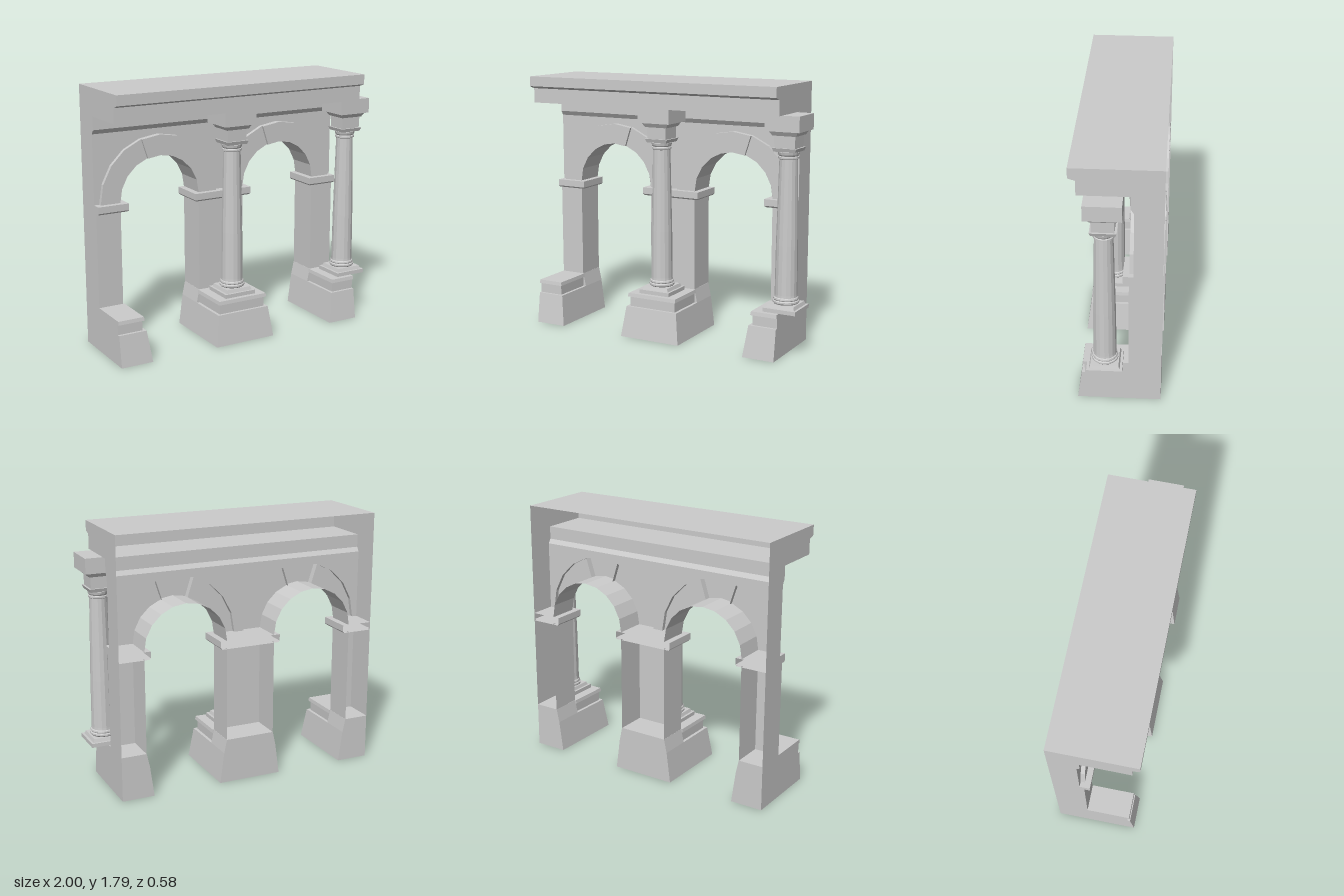
import * as THREE from 'three';

const mat = new THREE.MeshStandardMaterial({ color: 0xcccccc, flatShading: true, side: THREE.DoubleSide });
const X0 = -1, X1 = 0.876, BACK = -0.29, PIER = -0.075, WALL = -0.105;
const PIERS = [X0, -0.062, X1], ARCHES = [-0.531, 0.407];
const SPRING = 1.013, R_IN = 0.294, R_OUT = 0.434, TOP = 1.79;

function add(parent, name, geo, x = 0, y = 0, z = 0) {
  const m = new THREE.Mesh(geo, mat);
  m.name = name;
  m.position.set(x, y, z);
  parent.add(m);
  return m;
}

// Open ribbon: a polyline of [x, y, z] points pushed along an offset
function ribbon(points, offset) {
  const pos = [], idx = [];
  points.forEach((p, i) => {
    pos.push(...p, p[0] + offset[0], p[1] + offset[1], p[2] + offset[2]);
    if (i) idx.push(2 * i - 2, 2 * i, 2 * i - 1, 2 * i - 1, 2 * i, 2 * i + 1);
  });
  const g = new THREE.BufferGeometry();
  g.setAttribute('position', new THREE.Float32BufferAttribute(pos, 3));
  g.setIndex(idx);
  const flat = g.toNonIndexed();
  flat.computeVertexNormals();
  return flat;
}

// Block whose bottom and top rectangles [x0, x1, z0, z1] may differ
function block(y0, y1, bottom, top = bottom, openBack = false) {
  const g = new THREE.BoxGeometry(1, 1, 1), p = g.attributes.position;
  for (let i = 0; i < p.count; i++) {
    const up = p.getY(i) > 0, r = up ? top : bottom;
    p.setXYZ(i, p.getX(i) > 0 ? r[1] : r[0], up ? y1 : y0, p.getZ(i) > 0 ? r[3] : r[2]);
  }
  if (openBack) g.setIndex(Array.from(g.index.array).slice(0, 30));
  g.computeVertexNormals();
  return g;
}

const shapeOf = (pts) => new THREE.Shape(pts.map((p) => new THREE.Vector2(p[0], p[1])));

// Points on an arc of 18 degree steps, from step a to step b
function arc(cx, r, a, b) {
  const out = [], dir = Math.sign(b - a);
  for (let i = a; i !== b + dir; i += dir) {
    const t = (i * Math.PI) / 10;
    out.push([cx + r * Math.cos(t), SPRING + r * Math.sin(t)]);
  }
  return out;
}

// Pier on its battered base, cut off at the ends of the wall
function makePier(cx) {
  const g = new THREE.Group();
  g.name = 'pier';
  const l = (h) => Math.max(X0, cx - h), r = (h) => Math.min(X1, cx + h);
  const rect = (h, z0, z1) => [l(h), r(h), z0, z1];
  add(g, 'baseFoot', block(0, 0.215, rect(0.226, BACK, 0.265), rect(0.197, BACK, 0.235)));
  add(g, 'baseBack', block(0.215, 0.31, rect(0.197, BACK, PIER), rect(0.176, BACK, PIER)));
  add(g, 'baseDado', block(0.215, 0.285, rect(0.176, PIER, 0.215)));
  add(g, 'baseLip', block(0.285, 0.31, rect(0.188, PIER, 0.23), rect(0.184, PIER, 0.226)));
  const path = [];
  if (cx > X0) path.push([l(0.175), 0.31, BACK]);
  path.push([l(0.175), 0.31, PIER], [r(0.175), 0.31, PIER]);
  if (cx < X1) path.push([r(0.175), 0.31, BACK]);
  add(g, 'pierShaft', ribbon(path, [0, 0.655, 0]));
  add(g, 'impostLower', block(0.958, 0.968, rect(0.21, BACK, -0.045), rect(0.219, BACK, -0.037), true));
  add(g, 'impost', block(0.968, SPRING, rect(0.219, BACK, -0.037), undefined, true));
  return g;
}

// Arch ring of three proud pieces, and the vault running to the back
function makeArch(cx) {
  const g = new THREE.Group();
  g.name = 'arch';
  add(g, 'soffit', ribbon(arc(cx, R_IN, 0, 10).map((p) => [...p, BACK]), [0, 0, PIER - BACK]));
  for (const [name, a, b, z] of [['archStoneLeft', 0, 4, -0.077], ['keystone', 4, 6, -0.06], ['archStoneRight', 6, 10, -0.077]]) {
    const outline = [...arc(cx, R_OUT, a, b), ...arc(cx, R_IN, b, a)];
    add(g, name, new THREE.ShapeGeometry(shapeOf(outline)), 0, 0, z);
    add(g, name + 'Edge', ribbon([...outline, outline[0]].map((p) => [...p, WALL]), [0, 0, z - WALL]));
  }
  return g;
}

// Free-standing column with square plinth and square capital
function makeColumn() {
  const g = new THREE.Group();
  g.name = 'column';
  const sq = (h) => [-h, h, -h, h];
  add(g, 'plinth', block(0.31, 0.337, sq(0.116)));
  add(g, 'plinthSlope', block(0.337, 0.36, sq(0.1), sq(0.092)));
  const profile = [
    [0.082, 0.36], [0.088, 0.367], [0.088, 0.378], [0.081, 0.384], [0.084, 0.39], [0.082, 0.4],
    [0.076, 0.404], [0.075, 0.42], [0.072, 0.75], [0.06, 1.315], [0.068, 1.32], [0.068, 1.332],
    [0.062, 1.336], [0.068, 1.345], [0.072, 1.362], [0.066, 1.368],
  ].map((p) => new THREE.Vector2(p[0], p[1]));
  add(g, 'shaft', new THREE.LatheGeometry(profile, 16));
  add(g, 'abacus', block(1.366, 1.39, sq(0.075), sq(0.084)));
  add(g, 'capitalNeck', block(1.39, 1.47, sq(0.071), sq(0.073)));
  add(g, 'capitalMoulding', block(1.47, 1.5, sq(0.082), sq(0.1)));
  add(g, 'capitalBlock', block(1.5, 1.604, sq(0.119)));
  return g;
}

export function createModel() {
  const model = new THREE.Group();
  model.name = 'arcade';

  PIERS.forEach((x) => model.add(makePier(x)));
  ARCHES.forEach((x) => model.add(makeArch(x)));
  PIERS.slice(1).forEach((x) => {
    const c = makeColumn();
    c.position.set(x, 0, 0.078);
    model.add(c);
  });

  // Wall face above the piers, cut around the arch rings
  const face = [[X0, SPRING], ...ARCHES.flatMap((x) => arc(x, R_OUT, 10, 0)), [X1, SPRING], [X1, 1.485], [X0, 1.485]];
  add(model, 'wallFace', new THREE.ShapeGeometry(shapeOf(face)), 0, 0, WALL);

  // Entablature shell: [z, y] profile swept along the wall, open at the back
  const cornice = [
    [WALL, 1.485], [-0.085, 1.515], [-0.085, 1.604], [0.243, 1.604], [0.243, 1.705],
    [0.275, 1.715], [0.29, 1.722], [0.29, TOP], [BACK, TOP],
  ];
  add(model, 'entablature', ribbon(cornice.map(([z, y]) => [X0, y, z]), [X1 - X0, 0, 0]));

  // Flat end walls following the same profile
  const end = [[BACK, 0.31], [PIER, 0.31], [PIER, SPRING], [WALL, SPRING], ...cornice];
  for (const x of [X0, X1]) {
    const m = add(model, 'endWall', new THREE.ShapeGeometry(shapeOf(end)), x);
    m.rotation.y = -Math.PI / 2;
  }
  return model;
}
